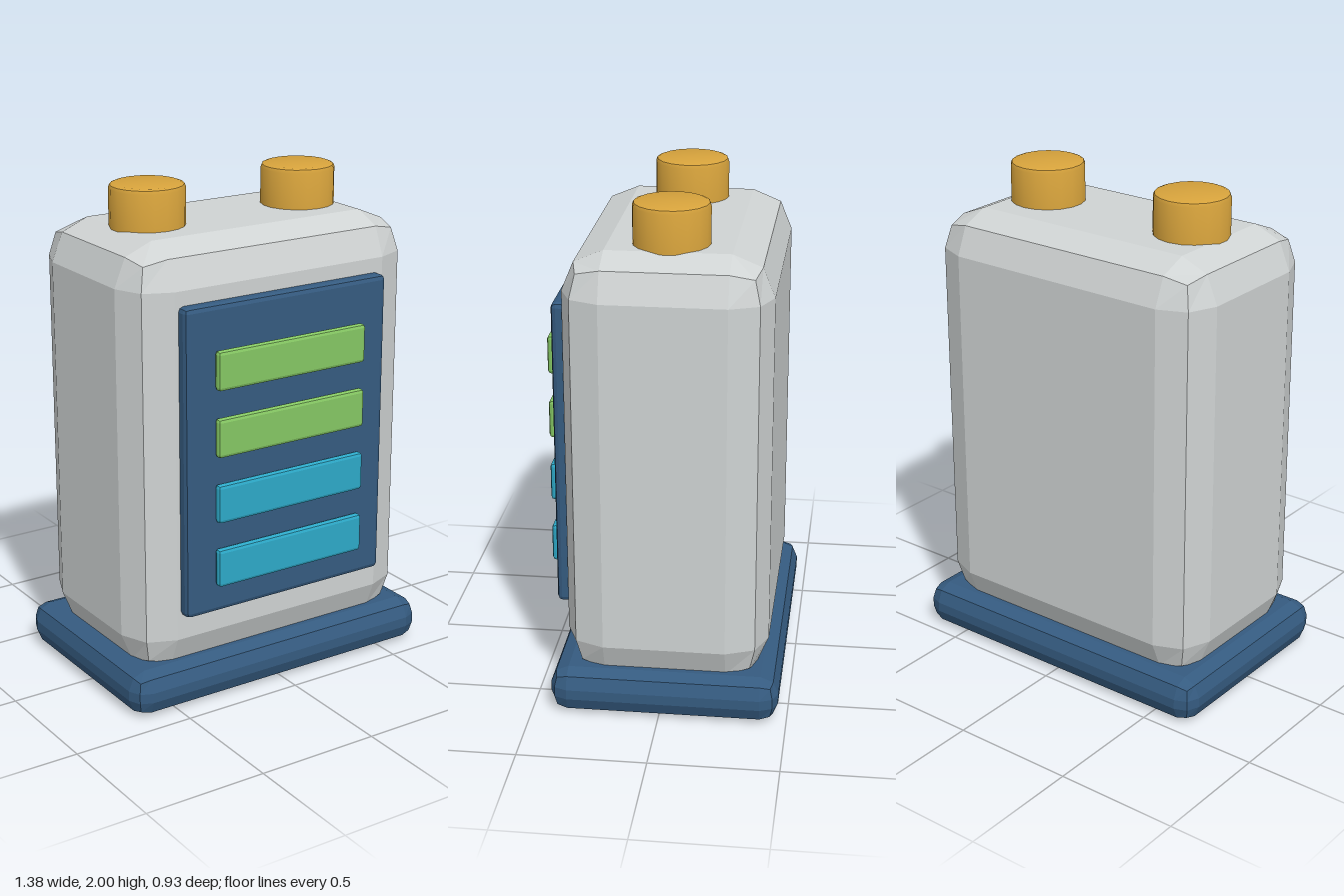
import * as THREE from 'three';
import { RoundedBoxGeometry } from 'three/addons/geometries/RoundedBoxGeometry.js';
import { toCreasedNormals } from 'three/addons/utils/BufferGeometryUtils.js';

function material(name, color) {
  const m = new THREE.MeshStandardMaterial({ color });
  m.name = name;
  return m;
}

// Box with two flat bevel facets along each edge, placed by its centre
function bevelBox(name, mat, size, centre, bevel) {
  const geometry = new RoundedBoxGeometry(...size, 1, bevel);
  geometry.computeVertexNormals(); // non-indexed, so this gives flat facets
  const mesh = new THREE.Mesh(geometry, mat);
  mesh.name = name;
  mesh.position.set(...centre);
  return mesh;
}

export function createModel() {
  const group = new THREE.Group();
  group.name = 'batteryPack';

  const grey = material('light grey', 0xcfd3d3);
  const navy = material('navy blue', 0x355b80);
  const green = material('green', 0x85c763);
  const cyan = material('cyan', 0x2da9c8);
  const gold = material('gold', 0xd7a33c);
  const midZ = -0.018;

  // Case and base
  group.add(bevelBox('base', navy, [1.38, 0.18, 0.896], [0, 0.09, midZ], 0.07));
  group.add(bevelBox('case', grey, [1.276, 1.718, 0.796], [0, 0.979, midZ], 0.16));

  // Front panel with four charge bars floating just ahead of it
  group.add(bevelBox('frontPanel', navy, [0.924, 1.24, 0.07], [0, 1, 0.393], 0.02));
  [0.576, 0.84, 1.105, 1.37].forEach((y, i) => {
    const mat = i < 2 ? cyan : green;
    group.add(bevelBox('chargeBar' + (i + 1), mat, [0.68, 0.156, 0.036], [0, y, 0.449], 0.014));
  });

  // Terminals: cylinders with a small bevelled rim
  const profile = [
    [0, 1.78], [0.148, 1.78], [0.148, 1.982], [0.143, 1.995], [0.13, 2], [0, 2],
  ].map(([r, y]) => new THREE.Vector2(r, y));
  const terminal = toCreasedNormals(new THREE.LatheGeometry(profile, 18), 0.6);
  for (const side of [1, -1]) {
    const mesh = new THREE.Mesh(terminal, gold);
    mesh.name = side > 0 ? 'leftTerminal' : 'rightTerminal';
    mesh.position.set(side * 0.35, 0, midZ);
    group.add(mesh);
  }

  return group;
}
